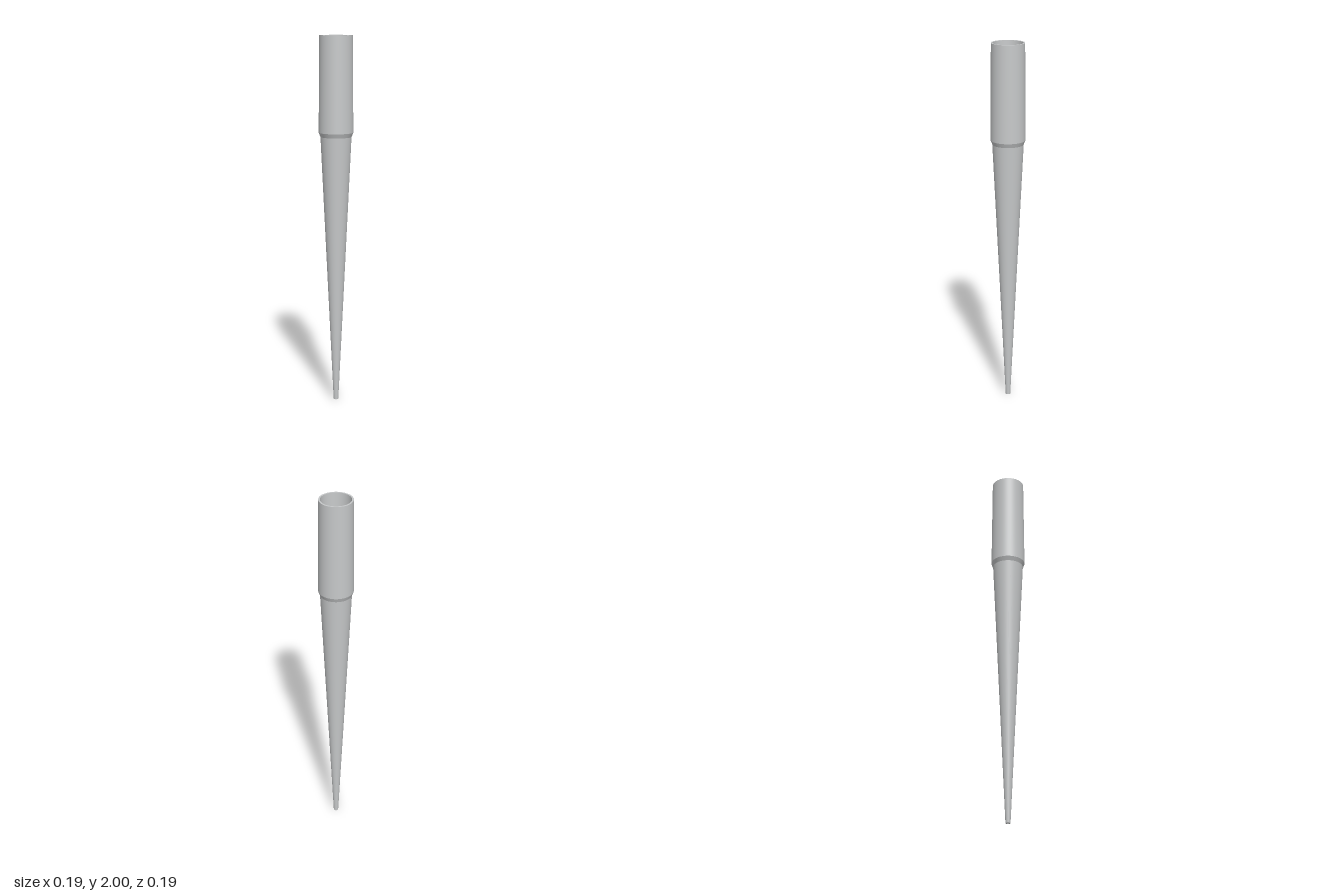
import * as THREE from 'three';

const SIDES = 64;

export function createModel() {
  const group = new THREE.Group();
  group.name = 'taperedTube';
  const plastic = new THREE.MeshStandardMaterial({ color: 0xc6c8c9 });
  plastic.name = 'greyPlastic';

  // Each section is revolved on its own so the edges between sections stay crisp.
  // Outer profiles run upward, inner profiles run downward, so faces point out of the wall.
  const section = (name, ...profile) => {
    const points = profile.map(([r, y]) => new THREE.Vector2(r, y));
    const mesh = new THREE.Mesh(new THREE.LatheGeometry(points, SIDES), plastic);
    mesh.name = name;
    group.add(mesh);
  };

  // Outside, from the tip to the rim
  section('tipEnd', [0.006, 0], [0.013, 0]);
  section('taperedBody', [0.013, 0], [0.083, 1.465]);
  section('shoulder', [0.083, 1.465], [0.0925, 1.488]);
  section('sleeve', [0.0925, 1.488], [0.088, 2]);
  section('rim', [0.088, 2], [0.079, 2]);

  // Hollow inside, from the rim to the tip opening
  section('socketWall', [0.079, 2], [0.066, 1.465]);
  section('innerCone', [0.066, 1.465], [0.006, 0]);

  return group;
}
